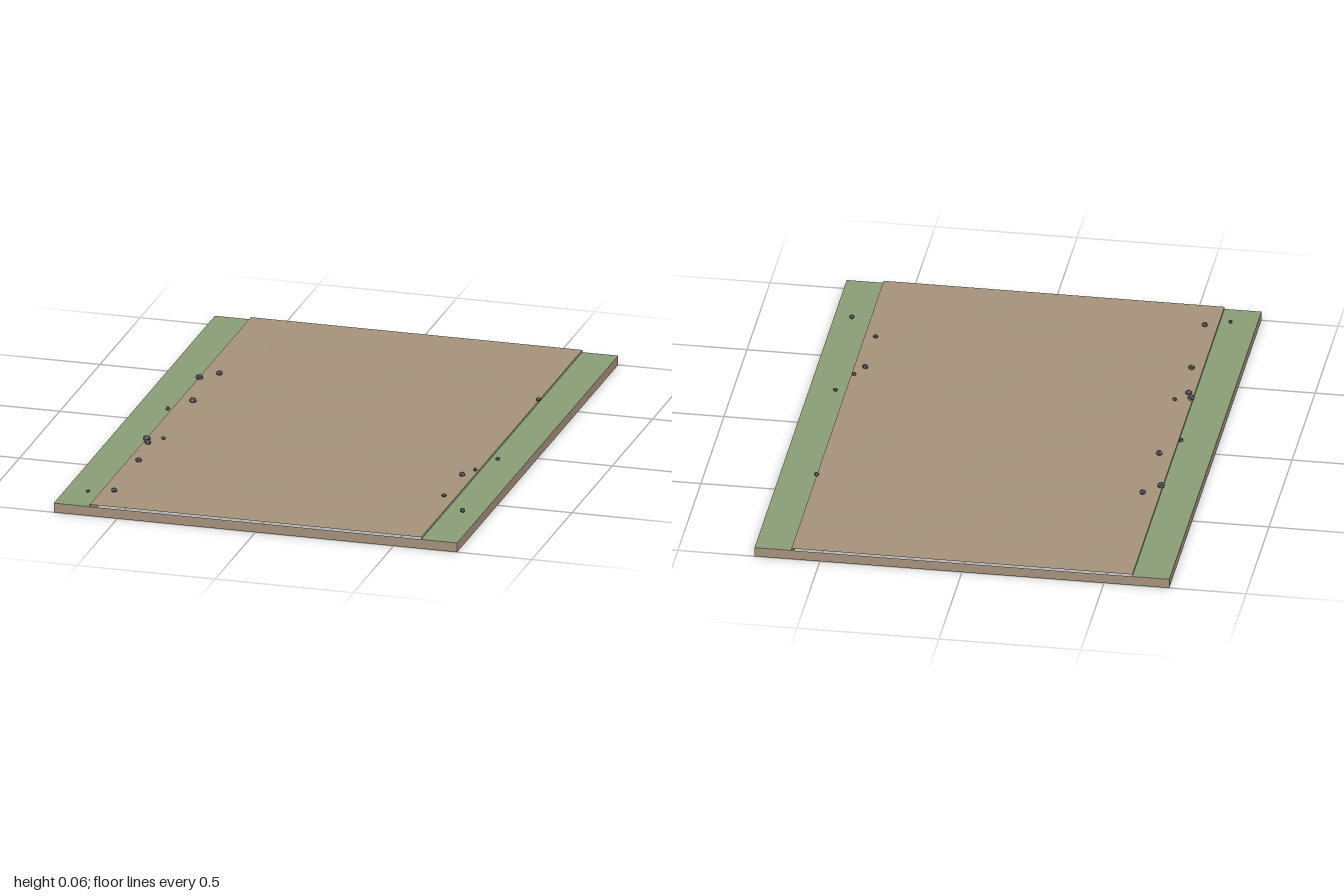
import * as THREE from 'three';

const HALF_W = 0.73, ROAD_W = 0.6, HALF_L = 1, SKIRT = 0.034, ROAD_Y = 0.042;

const material = (color) =>
  new THREE.MeshStandardMaterial({ color, flatShading: true, side: THREE.DoubleSide });

// small seeded generator for the uneven ground and stone turns
function seeded(seed) {
  return () => {
    seed = (seed * 16807) % 2147483647;
    return seed / 2147483647;
  };
}

export function createModel() {
  const model = new THREE.Group();
  const rand = seeded(41);
  const earth = material(0xa5927b), grass = material(0x8b9d77), stone = material(0x58585c);

  const add = (name, geometry, mat, x = 0, y = 0, z = 0) => {
    const mesh = new THREE.Mesh(geometry, mat);
    mesh.name = name;
    mesh.position.set(x, y, z);
    model.add(mesh);
    return mesh;
  };

  // dirt road: floating sheet with faint bumps, flat along its rim
  const road = new THREE.PlaneGeometry(2 * ROAD_W, 2 * HALF_L, 8, 12).rotateX(-Math.PI / 2);
  const p = road.attributes.position;
  for (let i = 0; i < p.count; i++) {
    const rim = Math.abs(p.getX(i)) > ROAD_W - 0.01 || Math.abs(p.getZ(i)) > HALF_L - 0.01;
    if (!rim) p.setY(i, (rand() - 0.5) * 0.0025);
  }
  road.computeVertexNormals();
  add('road', road, earth, 0, ROAD_Y, 0);

  for (const s of [-1, 1]) {
    const side = s > 0 ? 'left' : 'right';
    // grass verge, a little below the road
    const verge = new THREE.PlaneGeometry(HALF_W - ROAD_W, 2 * HALF_L).rotateX(-Math.PI / 2);
    add(side + 'Verge', verge, grass, s * (HALF_W + ROAD_W) / 2, SKIRT, 0);

    // green step between verge and road
    const step = new THREE.PlaneGeometry(2 * HALF_L, ROAD_Y - SKIRT).rotateY(s * Math.PI / 2);
    add(side + 'Step', step, grass, s * ROAD_W, (SKIRT + ROAD_Y) / 2, 0);

    // outer skirt and inner wall under the road edge
    for (const [name, x] of [['Skirt', HALF_W], ['InnerWall', ROAD_W]]) {
      const wall = new THREE.PlaneGeometry(2 * HALF_L, SKIRT).rotateY(s * Math.PI / 2);
      add(side + name, wall, earth, s * x, SKIRT / 2, 0);
    }

    // end skirts
    const end = new THREE.PlaneGeometry(2 * HALF_W, SKIRT);
    if (s < 0) end.rotateY(Math.PI);
    add(s > 0 ? 'frontSkirt' : 'backSkirt', end, earth, 0, SKIRT / 2, s * HALF_L);
  }

  // loose stones along both road edges: x, z, radius
  const stones = [
    [-0.54, -0.405, 0.012], [-0.595, -0.345, 0.014], [-0.55, -0.11, 0.013], [-0.61, -0.005, 0.009],
    [-0.54, 0.29, 0.008], [-0.595, 0.31, 0.014], [-0.58, 0.345, 0.012], [-0.56, 0.53, 0.012],
    [-0.555, 0.85, 0.011], [-0.64, 0.885, 0.008], [0.6, -0.455, 0.009], [0.635, 0.17, 0.009],
    [0.59, 0.295, 0.008], [0.56, 0.355, 0.011], [0.56, 0.58, 0.009], [0.665, 0.71, 0.01],
  ];
  stones.forEach(([x, z, r], i) => {
    const geometry = new THREE.DodecahedronGeometry(r);
    geometry.rotateX(rand() * 3).rotateY(rand() * 6).scale(1, 0.8, 1);
    add('stone' + (i + 1), geometry, stone, x, 0.048, z);
  });

  return model;
}
